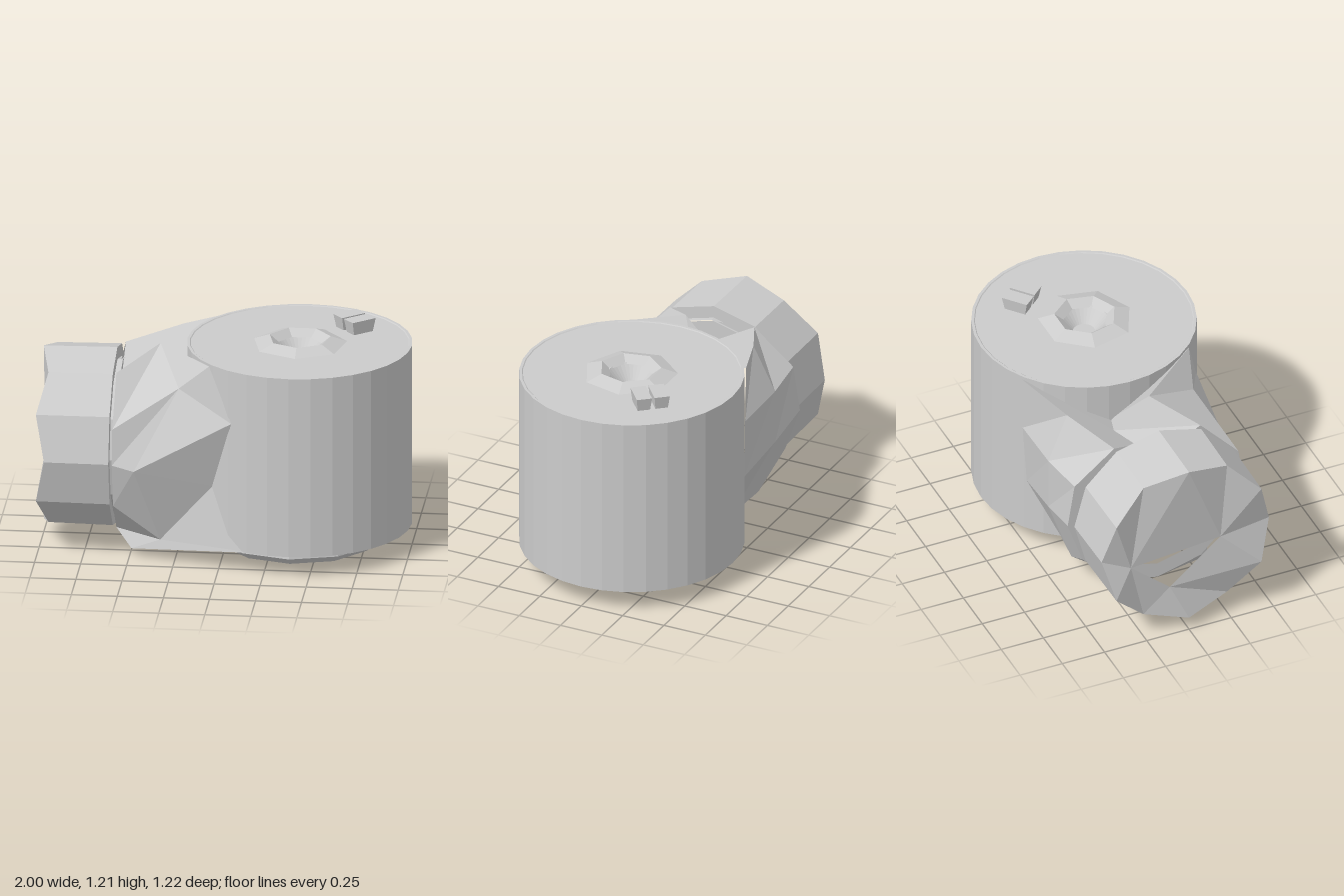
import * as THREE from 'three';

const SIDES = 12;
const grey = new THREE.MeshStandardMaterial({ color: 0xcccccc, flatShading: true });

// Ring of points around the x axis, starting at the top and turning toward +z
const ring = (fn) => Array.from({ length: SIDES }, (_, k) => {
  const a = (k / SIDES) * Math.PI * 2;
  return fn(k, Math.cos(a), Math.sin(a));
});
const circle = (x, r) => ring((k, c, s) => [x, 0.575 + r * c, r * s]);

// Joins consecutive rings with flat facets
function loft(rings) {
  const pos = [];
  for (let j = 0; j < rings.length - 1; j++) {
    for (let k = 0; k < SIDES; k++) {
      const n = (k + 1) % SIDES;
      const [a, b, c, d] = [rings[j][k], rings[j][n], rings[j + 1][k], rings[j + 1][n]];
      pos.push(...a, ...b, ...c, ...b, ...d, ...c);
    }
  }
  const g = new THREE.BufferGeometry();
  g.setAttribute('position', new THREE.Float32BufferAttribute(pos, 3));
  g.computeVertexNormals();
  return g;
}

const lathe = (profile, sides) =>
  new THREE.LatheGeometry(profile.map(([r, y]) => new THREE.Vector2(r, y)), sides);

export function createModel() {
  const model = new THREE.Group();
  const add = (name, geometry, x = 0, y = 0, z = 0) => {
    const mesh = new THREE.Mesh(geometry, grey);
    mesh.name = name;
    mesh.position.set(x, y, z);
    model.add(mesh);
    return mesh;
  };

  // Upright drum with a fine raised rim and a small well in the top
  add('drum', lathe([
    [0, 0.12], [0.61, 0.12], [0.61, 1.14], [0.595, 1.14], [0.59, 1.136], [0.13, 1.136], [0.06, 1.06], [0, 1.06],
  ], 32), 0.39);

  // Chamfered foot under the drum, with a small stud
  add('foot', lathe([[0, 0.018], [0.43, 0.018], [0.48, 0.06], [0.47, 0.125]], 11), 0.38);
  add('footStud', new THREE.CylinderGeometry(0.04, 0.025, 0.02, 5), 0.25, 0.012, 0.06);

  // Faceted neck blending the round flange into the drum, with a valley along its top
  const flange = circle(-0.58, 0.51);
  flange[0][1] = 0.87;
  flange[2] = [-0.58, 0.77, 0.48];
  flange[9][2] = -0.53;
  flange[10][2] = -0.49;
  const waist = [
    [-0.34, 0.94, -0.15], [-0.36, 1.125, 0.05], [-0.23, 0.98, 0.37], [-0.46, 0.55, 0.53],
    [-0.33, 0.115, 0.38], [-0.49, 0.045, 0.34], [-0.33, 0.11, 0], [-0.42, 0.09, -0.25],
    [-0.34, 0.16, -0.4], [-0.3, 0.51, -0.52], [-0.3, 0.82, -0.52], [-0.28, 1.08, -0.4],
  ];
  const seam = [
    [-0.19, 0.9, -0.1], [-0.06, 1.13, 0.42], [0.07, 0.84, 0.52], [-0.04, 0.45, 0.43],
    [0.2, 0.125, 0.575], [-0.1, 0.125, 0.3], [-0.15, 0.125, 0], [-0.12, 0.125, -0.25],
    [-0.1, 0.125, -0.36], [0.03, 0.45, -0.5], [0.05, 0.8, -0.515], [0.05, 1.13, -0.52],
  ];
  add('neck', loft([circle(-0.58, 0.42), flange, waist, seam]));

  // Side cap with a scalloped outer edge and a three-cornered opening
  const opening = [[0.55, 0.2], [0.3, -0.1], [0.5, -0.33]];
  const hole = ring((k) => {
    const [y, z] = opening[k >= 1 && k <= 4 ? 0 : k >= 5 && k <= 7 ? 1 : 2];
    return [-0.97, y, z];
  });
  const scallop = ring((k, c, s) => [k % 2 ? -0.95 : -1, 0.575 + 0.495 * c, 0.495 * s]);
  add('sideCap', loft([hole, scallop, circle(-0.6, 0.5), circle(-0.6, 0.43), circle(-0.57, 0.43)]));

  // Low hub around the well
  add('hub', lathe([[0.27, 1.132], [0.17, 1.168], [0.12, 1.13]], 7), 0.39, 0, 0.01);

  // Pair of lugs that flare toward the top
  for (const [name, x, z] of [['backLug', 0.63, -0.285], ['frontLug', 0.695, -0.21]]) {
    const g = new THREE.CylinderGeometry(Math.SQRT1_2, Math.SQRT1_2 * 0.8, 0.08, 4).rotateY(Math.PI / 4);
    g.scale(0.15, 1, 0.085);
    add(name, g, x, 1.17, z).rotation.y = 0.7;
  }

  return model;
}
